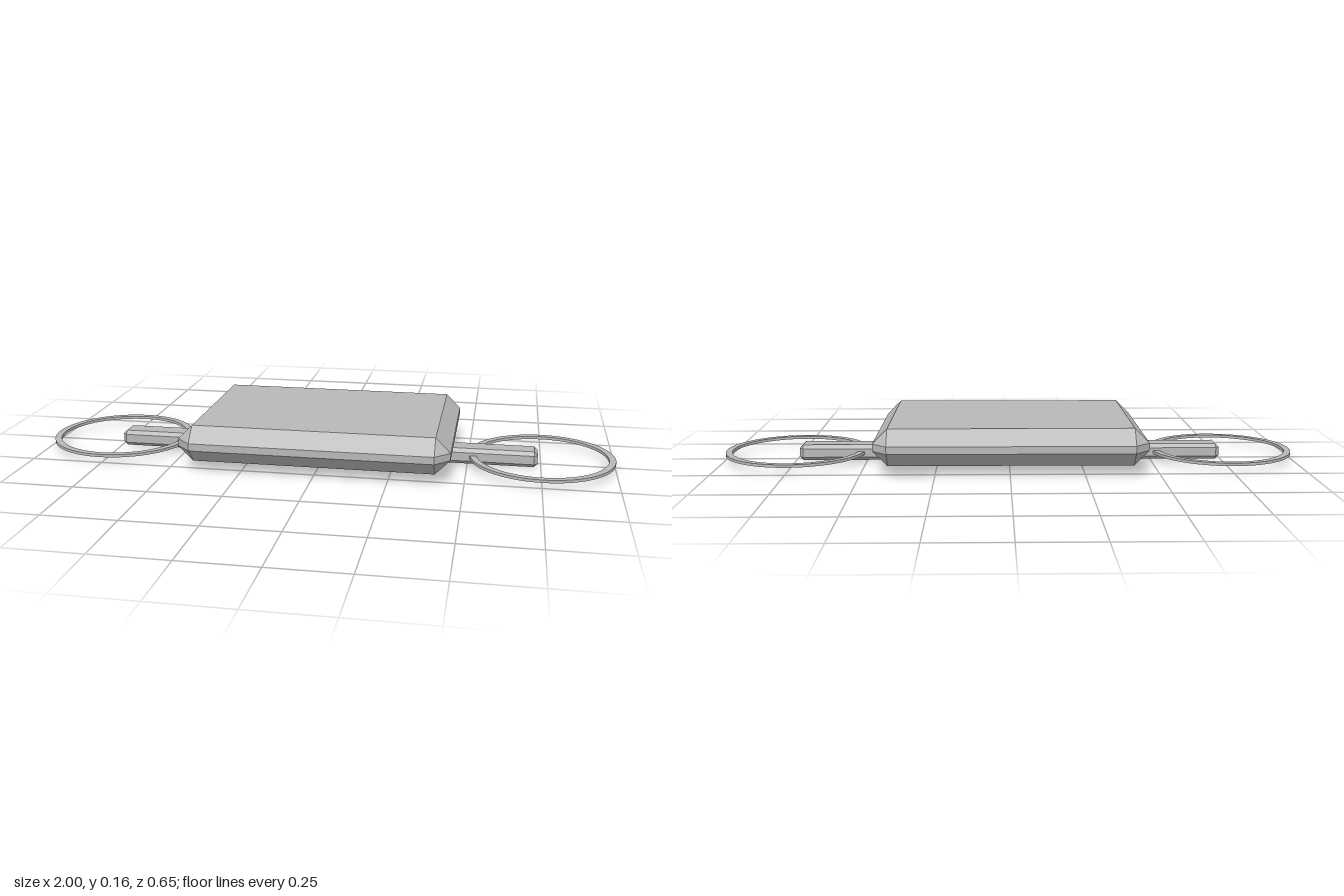
import * as THREE from 'three';
import { ConvexGeometry } from 'three/addons/geometries/ConvexGeometry.js';

// Box with every edge and corner cut by a 45 degree chamfer
function chamferBox(w, h, d, c) {
  const pts = [];
  for (const sx of [-1, 1]) for (const sy of [-1, 1]) for (const sz of [-1, 1]) {
    for (const axis of [0, 1, 2]) {
      const p = [w / 2 - c, h / 2 - c, d / 2 - c];
      p[axis] += c;
      pts.push(new THREE.Vector3(p[0] * sx, p[1] * sy, p[2] * sz));
    }
  }
  return new ConvexGeometry(pts);
}

// Flat ring with a rectangular section
function flatRing(outer, inner, h) {
  const section = [[inner, -h], [outer, -h], [outer, h], [inner, h], [inner, -h]]
    .map(([r, y]) => new THREE.Vector2(r, y / 2));
  return new THREE.LatheGeometry(section, 64);
}

export function createModel() {
  const model = new THREE.Group();
  const grey = new THREE.MeshStandardMaterial({ color: 0xb8b8b8, flatShading: true });
  grey.name = 'plain grey';

  const add = (name, geometry, x, y, z) => {
    const mesh = new THREE.Mesh(geometry, grey);
    mesh.name = name;
    mesh.position.set(x, y, z);
    model.add(mesh);
  };

  // Main slab
  add('body', chamferBox(0.915, 0.125, 0.648, 0.05), -0.003, 0.098, 0.001);

  // Arm and hoop on each side
  const arm = chamferBox(0.35, 0.055, 0.0875, 0.0125);
  const hoop = flatRing(0.248, 0.225, 0.01);
  for (const [side, s] of [['left', 1], ['right', -1]]) {
    add(side + 'Arm', arm, s * 0.566 - 0.003, 0.0275, 0.0085);
    add(side + 'Hoop', hoop, s * 0.752, 0.0275, 0.0115);
  }
  return model;
}
